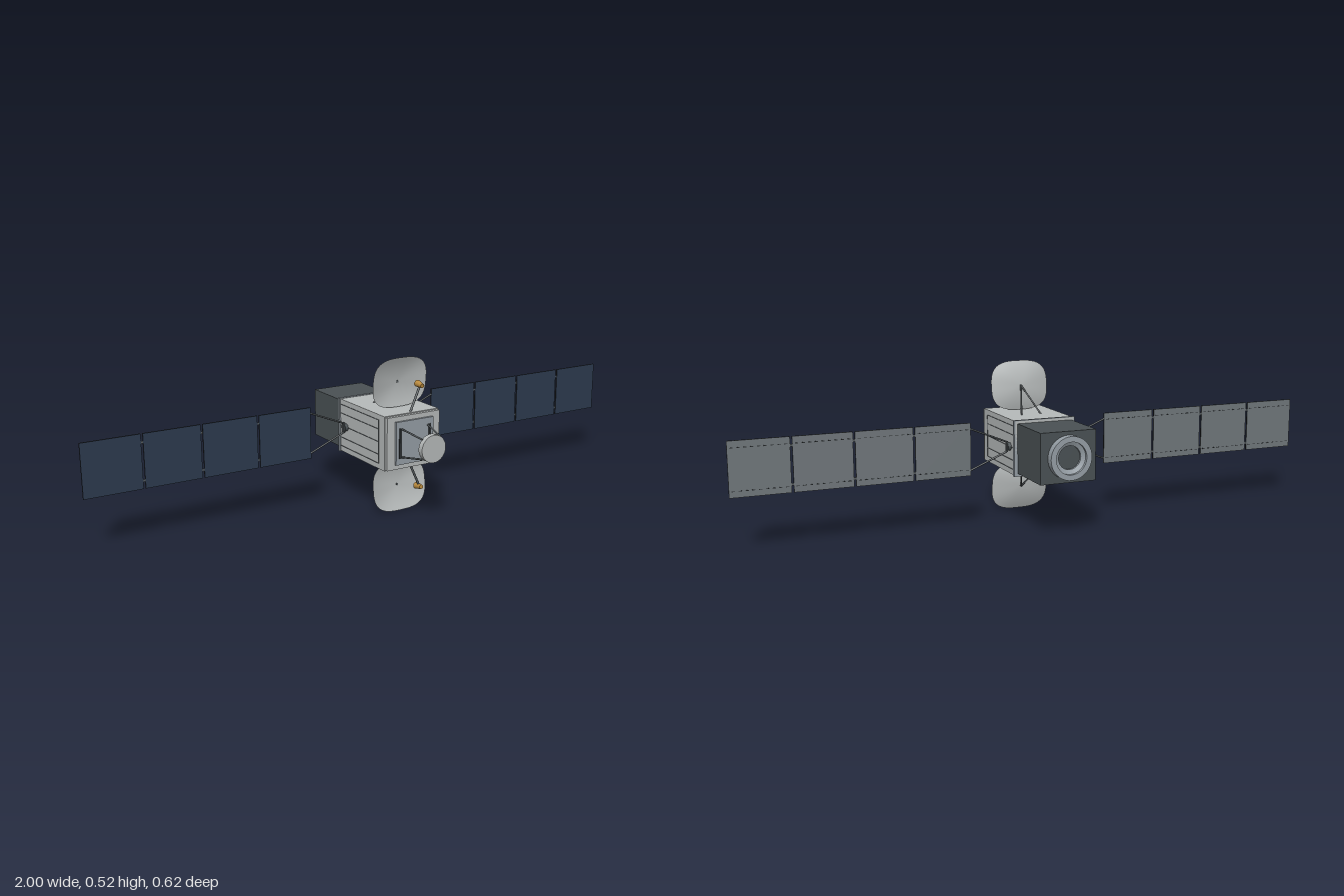
import * as THREE from 'three';
import { mergeVertices } from 'three/addons/utils/BufferGeometryUtils.js';

const CY = 0.26; // height of the satellite's long axis

function material(name, color, side = THREE.FrontSide) {
  const m = new THREE.MeshStandardMaterial({ color, side });
  m.name = name;
  return m;
}

export function createModel() {
  const root = new THREE.Group();
  root.name = 'satellite';
  const hull = material('hull grey', 0xb6baba);
  const dishMat = material('dish grey', 0xb6baba, THREE.DoubleSide);
  const dark = material('dark bay', 0x4a5154);
  const strutMat = material('strut grey', 0x565c5f);
  const metal = material('blue grey metal', 0x959ea5);
  const blue = material('solar blue', 0x2d3b4f);
  const backing = material('panel backing', 0x70777b);
  const gold = material('gold', 0xb98a3e);
  const line = material('seam black', 0x2a2e30);

  function add(name, geometry, mat, parent = root) {
    const mesh = new THREE.Mesh(geometry, mat);
    mesh.name = name;
    parent.add(mesh);
    return mesh;
  }
  function box(name, w, h, d, x, y, z, mat, parent) {
    const mesh = add(name, new THREE.BoxGeometry(w, h, d), mat, parent);
    mesh.position.set(x, y, z);
    return mesh;
  }
  // Round bar between two points, optionally tapered
  function rod(name, a, b, r0, mat, parent, r1 = r0, sides = 10) {
    const p = new THREE.Vector3(...a), q = new THREE.Vector3(...b);
    const mesh = add(name, new THREE.CylinderGeometry(r1, r0, p.distanceTo(q), sides), mat, parent);
    mesh.position.copy(p).lerp(q, 0.5);
    mesh.quaternion.setFromUnitVectors(new THREE.Vector3(0, 1, 0), q.sub(p).normalize());
    return mesh;
  }

  // Main body, collar and rear bay
  box('body', 0.206, 0.18, 0.283, 0, CY, 0.0415, hull);
  box('frontPlate', 0.2, 0.174, 0.012, 0, CY, 0.189, hull);
  box('frontFlange', 0.142, 0.142, 0.008, 0, CY, 0.199, metal);
  box('collar', 0.214, 0.185, 0.01, 0, CY, -0.095, metal);
  box('rearBay', 0.19, 0.164, 0.182, 0, CY, -0.191, dark);
  for (const s of [-1, 1]) box('frontSlot', 0.008, 0.1, 0.004, s * 0.056, CY, 0.204, line);

  // Rear docking ring: hollow stepped profile
  const ringProfile = [[0.038, 0], [0.038, 0.01], [0.052, 0.016], [0.052, 0.025], [0.07, 0.025], [0.07, 0]]
    .map(([r, h]) => new THREE.Vector2(r, h));
  const pts = ringProfile.flatMap((p, i) => (i ? [p, p.clone()] : [p]));
  const ringGeo = new THREE.LatheGeometry(pts.reverse(), 40).toNonIndexed();
  ringGeo.computeVertexNormals();
  const ringMat = material('ring metal', 0x959ea5, THREE.DoubleSide);
  const ring = add('rearRing', ringGeo, ringMat);
  ring.rotation.x = -Math.PI / 2;
  ring.position.set(0, CY, -0.282);
  rod('ringWell', [0, CY, -0.281], [0, CY, -0.285], 0.04, dark, root, 0.04, 32);

  // Front reflector on four struts
  rod('frontReflector', [0, CY, 0.29], [0, CY, 0.309], 0.045, hull, root, 0.045, 40);
  for (const sx of [-1, 1]) for (const sy of [-1, 1]) {
    rod('reflectorStrut', [sx * 0.05, CY + sy * 0.047, 0.2], [sx * 0.034, CY + sy * 0.032, 0.295], 0.003, strutMat);
  }

  // Side seams and solar wings
  for (const s of [-1, 1]) {
    const side = new THREE.Group();
    side.name = s > 0 ? 'leftSeams' : 'rightSeams';
    root.add(side);
    for (const y of [-0.072, -0.042, 0, 0.042, 0.072]) {
      box('seam', 0.002, 0.0022, 0.24, s * 0.1035, CY + y, 0.03, strutMat, side);
    }
    box('seam', 0.002, 0.145, 0.0022, s * 0.1035, CY, 0.15, strutMat, side);

    const wing = new THREE.Group();
    wing.name = s > 0 ? 'leftWing' : 'rightWing';
    root.add(wing);
    const wz = -0.053;
    rod('wingPivot', [s * 0.1, CY, wz], [s * 0.114, CY, wz], 0.013, dark, wing, 0.013, 24);
    box('pivotBar', 0.006, 0.036, 0.008, s * 0.114, CY, wz, strutMat, wing);
    for (const sy of [-1, 1]) {
      rod('yokeArm', [s * 0.114, CY + sy * 0.016, wz], [s * 0.24, CY + sy * 0.068, wz], 0.003, strutMat, wing);
    }
    for (let i = 0; i < 4; i++) {
      const x = s * (0.332 + i * 0.1918);
      box('solarPanel', 0.185, 0.173, 0.005, x, CY + 0.001, wz, [line, line, line, line, blue, backing], wing);
      for (const sy of [-1, 1]) {
        // Dashed cable runs on the back
        for (let k = 0; k < 9; k++) {
          box('cableDash', 0.01, 0.002, 0.001, x + (k - 4) * 0.02, CY + sy * 0.066, wz - 0.003, line, wing);
        }
        if (i < 3) box('hinge', 0.012, 0.008, 0.003, x + s * 0.0959, CY + sy * 0.06, wz - 0.001, strutMat, wing);
      }
    }
  }

  // Dish antennas above and below the body
  for (const s of [-1, 1]) {
    const antenna = new THREE.Group();
    antenna.name = s > 0 ? 'upperAntenna' : 'lowerAntenna';
    root.add(antenna);

    // Rounded-square shallow bowl, tipped forward at its outer edge
    let geo = new THREE.RingGeometry(0.001, 1, 56, 7);
    const p = geo.attributes.position;
    for (let i = 0; i < p.count; i++) {
      const x = p.getX(i), y = p.getY(i), r = Math.hypot(x, y);
      const c = Math.abs(x / r), d = Math.abs(y / r);
      const k = 1 / Math.pow(c ** 3 + d ** 3, 1 / 3);
      const v = y * k;
      p.setXYZ(i, x * k * 0.102, CY + 0.175 + v * 0.083, 0.114 + 0.009 * v * s - 0.015 * (1 - r * r));
    }
    if (s < 0) for (let i = 0; i < p.count; i++) p.setY(i, p.getY(i) - 0.35);
    geo.deleteAttribute('uv');
    geo.deleteAttribute('normal');
    geo = mergeVertices(geo);
    geo.computeVertexNormals();
    add('dish', geo, dishMat, antenna);
    rod('dishHub', [0, CY + s * 0.175, 0.096], [0, CY + s * 0.175, 0.101], 0.004, strutMat, antenna);

    for (const sx of [-1, 1]) {
      rod('dishStrut', [0, CY + s * 0.176, 0.099], [sx * 0.035, CY + s * 0.088, 0.01], 0.0028, strutMat, antenna);
    }
    // Feed horn aimed back at the dish
    rod('feedArm', [0.004, CY + s * 0.086, 0.168], [0.043, CY + s * 0.165, 0.163], 0.004, strutMat, antenna);
    rod('feedHorn', [0.044, CY + s * 0.17, 0.178], [0.044, CY + s * 0.173, 0.148], 0.007, gold, antenna, 0.0115, 20);
  }
  return root;
}
